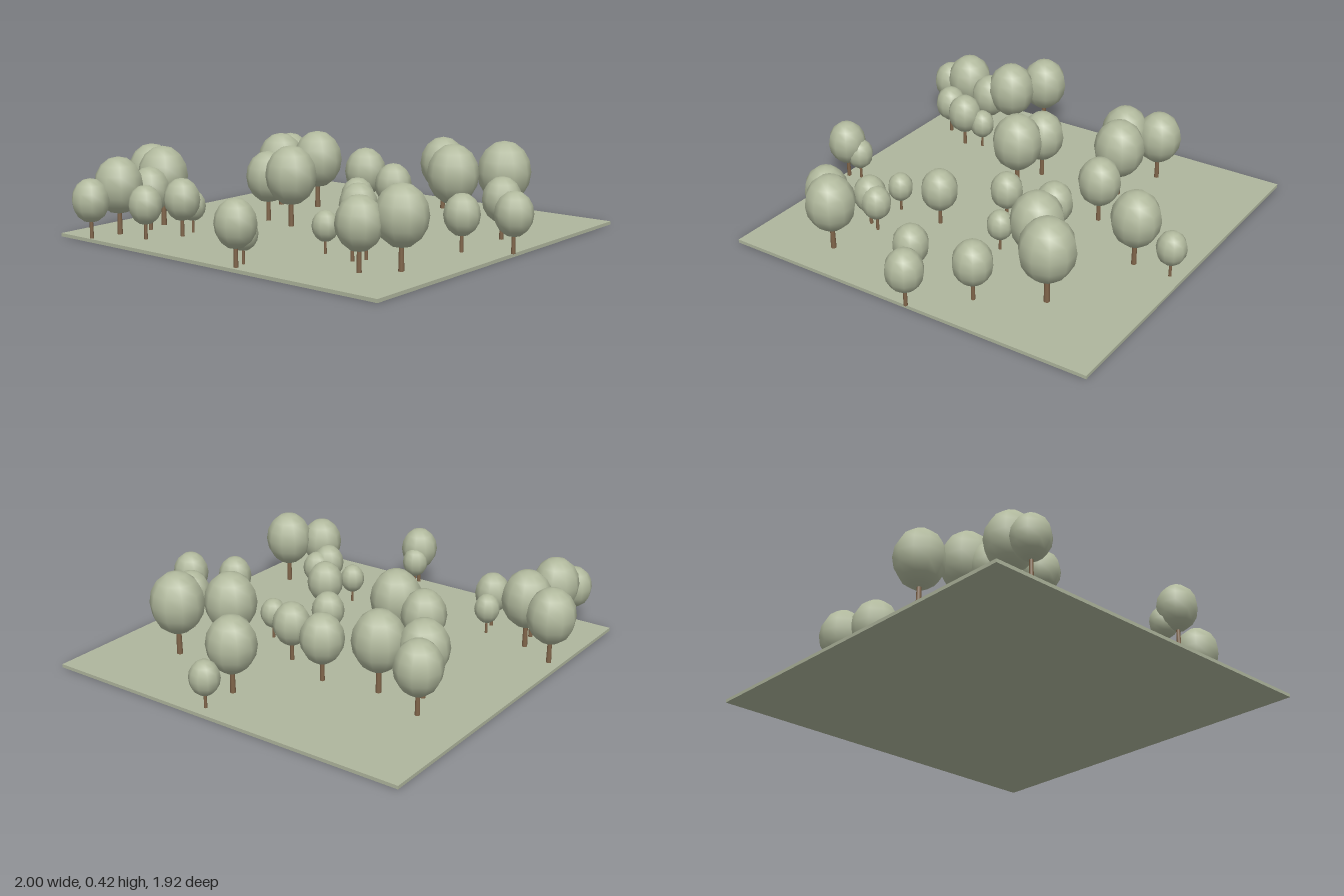
import * as THREE from 'three';

// Each tree: x, z, crown radius
const TREES = [
  [0.09, -0.90, 0.07], [0.09, -0.72, 0.115], [0.555, -0.555, 0.128], [0.375, -0.39, 0.124],
  [-0.155, -0.395, 0.102], [0.09, -0.30, 0.089], [0.715, -0.285, 0.091], [0.315, -0.155, 0.062],
  [0.91, -0.073, 0.087], [0.08, -0.035, 0.078], [0.717, 0.04, 0.082], [-0.68, -0.425, 0.11],
  [-0.61, -0.275, 0.117], [-0.425, -0.345, 0.123], [-0.39, 0.067, 0.107], [-0.215, 0.10, 0.122],
  [0.277, 0.207, 0.088], [0.277, 0.437, 0.06], [0.485, 0.415, 0.07], [0.457, 0.475, 0.078],
  [0.72, 0.483, 0.116], [0.60, 0.61, 0.102], [-0.883, 0.367, 0.115],
];
const GROVE = [
  [-0.707, 0.46, 0.12], [-0.675, 0.575, 0.094], [-0.48, 0.49, 0.062], [-0.455, 0.582, 0.085],
  [-0.54, 0.73, 0.078], [-0.715, 0.73, 0.114], [-0.743, 0.875, 0.087],
  [0.15, 0.863, 0.092], [0.133, 0.80, 0.065],
];
const GROUND_TOP = 0.016;

function material(name, color) {
  const m = new THREE.MeshStandardMaterial({ color });
  m.name = name;
  return m;
}

export function createModel() {
  const model = new THREE.Group();
  model.name = 'treePark';
  const grass = material('paleGrass', 0xafb69d);
  const leaves = material('sageLeaves', 0xb1b99d);
  const bark = material('brownBark', 0x80654a);

  // Thin square of ground
  const ground = new THREE.Mesh(new THREE.BoxGeometry(1.85, GROUND_TOP, 1.85), grass);
  ground.name = 'ground';
  ground.position.set(-0.015, GROUND_TOP / 2, -0.035);
  model.add(ground);

  // Unit crown and trunk, scaled for every tree
  const crownShape = new THREE.SphereGeometry(1, 10, 8);
  const trunkShape = new THREE.CylinderGeometry(0.08, 0.11, 1, 8);
  trunkShape.translate(0, 0.5, 0);

  for (const [x, z, r] of [...TREES, ...GROVE]) {
    const tree = new THREE.Group();
    tree.name = 'tree';
    tree.position.set(x, GROUND_TOP, z);
    const centre = 0.004 + r * 1.98;

    const crown = new THREE.Mesh(crownShape, leaves);
    crown.name = 'crown';
    crown.position.y = centre;
    crown.scale.set(r, r * 1.17, r);

    const trunk = new THREE.Mesh(trunkShape, bark);
    trunk.name = 'trunk';
    trunk.scale.set(r, centre - r * 0.6, r);

    tree.add(crown, trunk);
    model.add(tree);
  }
  return model;
}
